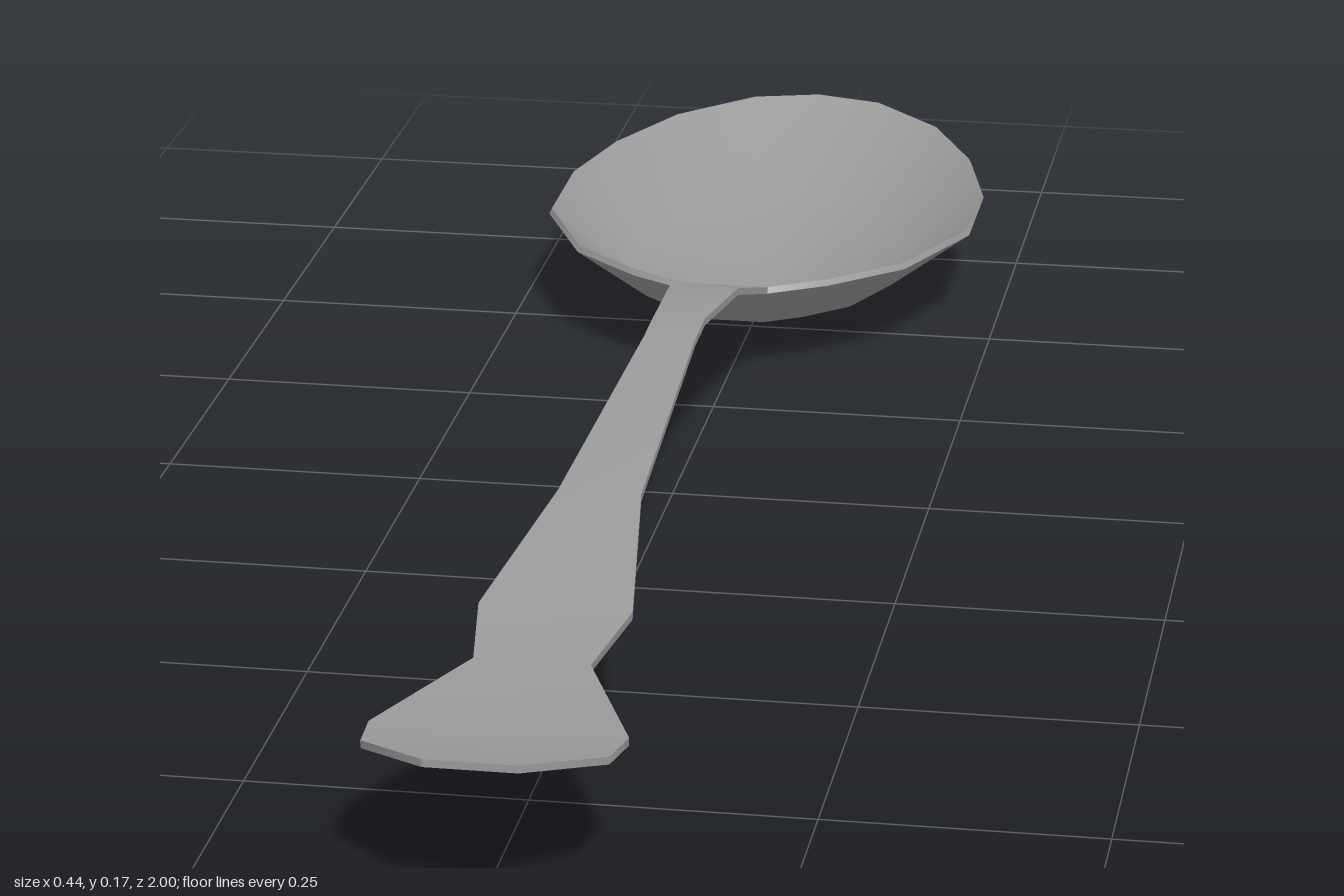
import * as THREE from 'three';
import { toCreasedNormals } from 'three/addons/utils/BufferGeometryUtils.js';

const THICK = 0.007;

// Skin a row of closed rings, with a fan to a point at each end
function loft(start, rings, end) {
  const n = rings[0].length, pos = [];
  const tri = (...pts) => pts.forEach((p) => pos.push(...p));
  for (let i = 0; i < n; i++) {
    const k = (i + 1) % n, last = rings[rings.length - 1];
    tri(start, rings[0][i], rings[0][k]);
    for (let j = 0; j < rings.length - 1; j++) {
      const a = rings[j], b = rings[j + 1];
      tri(a[i], b[i], a[k]);
      tri(a[k], b[i], b[k]);
    }
    tri(last[i], end, last[k]);
  }
  const geo = new THREE.BufferGeometry();
  geo.setAttribute('position', new THREE.Float32BufferAttribute(pos, 3));
  return toCreasedNormals(geo, 0.75);
}

function bowlGeometry() {
  // Half outline of the rim [x, z], tip to neck, then mirrored
  const half = [
    [0, -1], [0.07, -0.98], [0.145, -0.9], [0.195, -0.79], [0.222, -0.675],
    [0.222, -0.545], [0.17, -0.425], [0.1, -0.36], [0.042, -0.325],
  ];
  const outline = [...half, ...half.slice(1).reverse().map(([x, z]) => [-x, z])];
  const zc = -0.56;
  const ring = (s, y) => outline.map(([x, z]) => [x * s, y, zc + (z - zc) * s]);
  // Outer skin up to the slightly bevelled rim, then back down the inside
  return loft([0, 0.002, zc], [
    ring(0.63, 0.038), ring(1, 0.099), ring(0.988, 0.105), ring(0.62, 0.038 + THICK),
  ], [0, 0.002 + THICK, zc]);
}

function handleGeometry() {
  // Stations along the handle: z, half width, height of the top face
  const stations = [
    [-0.328, 0.043, 0.105], [-0.19, 0.034, 0.15], [-0.04, 0.025, 0.169],
    [0.02, 0.025, 0.168], [0.4, 0.038, 0.153], [0.62, 0.068, 0.128],
    [0.73, 0.051, 0.122], [0.88, 0.11, 0.122], [0.94, 0.104, 0.13],
    [1, 0.04, 0.143],
  ];
  const rings = stations.map(([z, w, y]) => [
    [-w, y, z], [w, y, z], [w, y - THICK, z], [-w, y - THICK, z],
  ]);
  const mid = ([z, , y]) => [0, y - THICK / 2, z];
  return loft(mid(stations[0]), rings, mid(stations[stations.length - 1]));
}

export function createModel() {
  const group = new THREE.Group();
  group.name = 'spoon';
  const material = new THREE.MeshStandardMaterial({ color: 0x9b9b9b });
  const parts = { bowl: bowlGeometry(), handle: handleGeometry() };
  for (const [name, geometry] of Object.entries(parts)) {
    const mesh = new THREE.Mesh(geometry, material);
    mesh.name = name;
    group.add(mesh);
  }
  return group;
}
